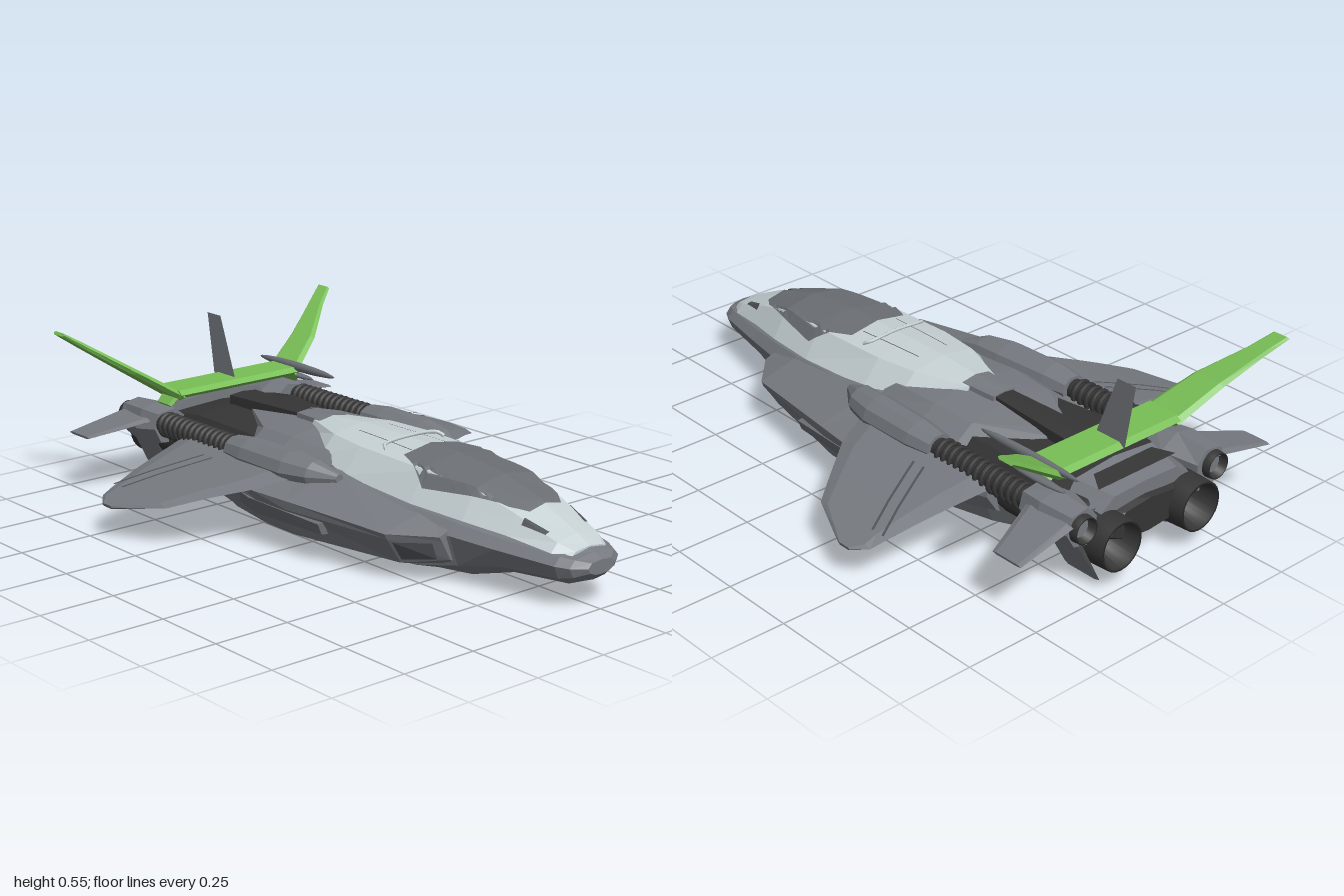
import * as THREE from 'three';

const mat = (name, color, side = THREE.FrontSide) => {
  const m = new THREE.MeshStandardMaterial({ color, side });
  m.name = name;
  return m;
};

// Skin between rings of [x,y,z] points; closed rings get end caps and outward faces
function loft(rings, closed = true) {
  const pos = [], n = rings[0].length, tri = (a, b, c) => pos.push(...a, ...b, ...c);
  for (let i = 0; i + 1 < rings.length; i++) {
    for (let j = 0; j < (closed ? n : n - 1); j++) {
      const k = (j + 1) % n, A = rings[i], B = rings[i + 1];
      tri(A[j], B[j], B[k]);
      tri(A[j], B[k], A[k]);
    }
  }
  if (closed) {
    [rings[0], rings[rings.length - 1]].forEach((r, e) => {
      const c = [0, 1, 2].map(d => r.reduce((s, p) => s + p[d], 0) / n);
      r.forEach((p, j) => (e ? tri(c, r[(j + 1) % n], p) : tri(c, p, r[(j + 1) % n])));
    });
  }
  // flip when the enclosed volume (or, for open skins, the upward area) is negative
  let sum = 0;
  const a = new THREE.Vector3(), b = new THREE.Vector3(), c = new THREE.Vector3();
  for (let i = 0; i < pos.length; i += 9) {
    a.fromArray(pos, i); b.fromArray(pos, i + 3); c.fromArray(pos, i + 6);
    sum += closed ? a.dot(b.cross(c)) : b.sub(a).cross(c.sub(a)).y;
  }
  if (sum < 0) {
    for (let i = 0; i < pos.length; i += 9) {
      for (let d = 0; d < 3; d++) [pos[i + 3 + d], pos[i + 6 + d]] = [pos[i + 6 + d], pos[i + 3 + d]];
    }
  }
  const g = new THREE.BufferGeometry();
  g.setAttribute('position', new THREE.Float32BufferAttribute(pos, 3));
  g.computeVertexNormals();
  return g;
}

// Symmetric body: each station is [z, [x,y]...] from bottom centre to top centre
const body = stations => loft(stations.map(([z, ...h]) => [
  ...h.map(([x, y]) => [x, y, z]),
  ...h.slice(1, -1).reverse().map(([x, y]) => [-x, y, z])]));

// One-sided body from full cross-sections; s is the side
const pod = (s, stations) => loft(stations.map(([z, ...r]) => r.map(([x, y]) => [s * x, y, z])));

// Blade: sections are [x, y, zFront, zBack, thickness]
function blade(s, secs) {
  const p = secs[0], q = secs[secs.length - 1];
  const l = Math.hypot(q[0] - p[0], q[1] - p[1]), nx = -(q[1] - p[1]) / l, ny = (q[0] - p[0]) / l;
  return loft(secs.map(([x, y, f, b, t]) => {
    const at = (k, o) => [s * (x + nx * o * t / 2), y + ny * o * t / 2, f + (b - f) * k];
    return [at(0, 0), at(0.12, 1), at(0.88, 1), at(1, 0), at(0.88, -1), at(0.12, -1)];
  }));
}

// Upper shell profile: z, edge x/y, shoulder x/y, crown y
const SHELL = [
  [0.95, 0.08, 0.158, 0.055, 0.175, 0.182], [0.9, 0.105, 0.168, 0.08, 0.195, 0.208],
  [0.75, 0.138, 0.19, 0.1, 0.248, 0.27], [0.6, 0.175, 0.205, 0.12, 0.292, 0.313],
  [0.4, 0.2, 0.215, 0.14, 0.308, 0.332], [0.1, 0.205, 0.235, 0.14, 0.315, 0.337],
  [-0.05, 0.175, 0.26, 0.12, 0.318, 0.337], [-0.23, 0.075, 0.28, 0.055, 0.315, 0.324]];

function shellY(x, z) {
  let i = 0;
  while (i < SHELL.length - 2 && z < SHELL[i + 1][0]) i++;
  const A = SHELL[i], B = SHELL[i + 1], t = (z - A[0]) / (B[0] - A[0]);
  const [, ex, ey, sx, sy, cy] = A.map((v, k) => v + (B[k] - v) * t), ax = Math.abs(x);
  return ax < sx ? cy + (sy - cy) * ax / sx : sy + (ey - sy) * (ax - sx) / (ex - sx);
}

// Thin skin on the shell; rows are [z, x0, x1]
function patch(rows, lift) {
  const rings = [];
  for (let i = 0; i + 1 < rows.length; i++) {
    for (let k = i ? 1 : 0; k <= 4; k++) {
      const [z, x0, x1] = rows[i].map((v, d) => v + (rows[i + 1][d] - v) * k / 4);
      rings.push(Array.from({ length: 15 }, (_, j) => {
        const x = x0 + (x1 - x0) * j / 14;
        return [x, shellY(x, z) + lift, z];
      }));
    }
  }
  return loft(rings, false);
}

export function createModel() {
  const grey = mat('hull grey', 0x767a80, THREE.DoubleSide), light = mat('shell light grey', 0xc6d1d4);
  const glass = mat('canopy grey', 0x6c7075), green = mat('wing green', 0x78be55);
  const dark = mat('machinery dark', 0x353536, THREE.DoubleSide), seam = mat('seam grey', 0x505358, THREE.DoubleSide);
  const model = new THREE.Group();
  const add = (name, geo, m, x = 0, y = 0, z = 0) => {
    const mesh = new THREE.Mesh(geo, m);
    mesh.name = name;
    mesh.position.set(x, y, z);
    model.add(mesh);
  };

  // Fuselage from nose to tail
  add('fuselage', body([
    [1.0, [0, 0.11], [0.025, 0.112], [0.045, 0.12], [0.055, 0.135], [0.04, 0.15], [0, 0.154]],
    [0.97, [0, 0.085], [0.045, 0.09], [0.085, 0.108], [0.1, 0.138], [0.08, 0.16], [0, 0.17]],
    [0.93, [0, 0.07], [0.06, 0.075], [0.105, 0.1], [0.122, 0.14], [0.1, 0.165], [0, 0.185]],
    [0.73, [0, 0.055], [0.08, 0.06], [0.14, 0.09], [0.17, 0.15], [0.145, 0.178], [0, 0.24]],
    [0.58, [0, 0.015], [0.11, 0.02], [0.17, 0.06], [0.205, 0.16], [0.178, 0.195], [0, 0.27]],
    [0.45, [0, 0.01], [0.13, 0.012], [0.22, 0.04], [0.24, 0.16], [0.2, 0.208], [0, 0.28]],
    [0.06, [0, 0.003], [0.14, 0.005], [0.29, 0.032], [0.33, 0.17], [0.22, 0.235], [0, 0.28]],
    [-0.3, [0, 0.008], [0.14, 0.012], [0.29, 0.042], [0.33, 0.17], [0.24, 0.22], [0, 0.24]],
    [-0.55, [0, 0.033], [0.13, 0.036], [0.25, 0.06], [0.28, 0.14], [0.2, 0.19], [0, 0.2]],
    [-0.77, [0, 0.055], [0.1, 0.058], [0.18, 0.08], [0.2, 0.13], [0.16, 0.17], [0, 0.19]]]), grey);
  // Light upper shell, canopy and aft deck
  add('upperShell', body(SHELL.map(([z, ex, ey, sx, sy, cy]) =>
    [z, [0, ey - 0.02], [ex, ey], [sx, sy], [0, cy]])), light);
  add('canopy', patch([[0.77, -0.065, 0.065], [0.72, -0.1, 0.1], [0.6, -0.135, 0.135], [0.42, -0.17, 0.17],
    [0.32, -0.13, 0.13], [0.27, -0.11, 0.11]], 0.005), glass);
  add('aftDeck', body([
    [0.02, [0, 0.2], [0.21, 0.23], [0.16, 0.275], [0, 0.3]],
    [-0.2, [0, 0.2], [0.25, 0.23], [0.17, 0.285], [0, 0.314]],
    [-0.36, [0, 0.2], [0.24, 0.22], [0.16, 0.28], [0, 0.306]],
    [-0.58, [0, 0.2], [0.06, 0.23], [0.04, 0.28], [0, 0.292]]]), grey);
  add('engineBay', body([
    [-0.34, [0, 0.12], [0.2, 0.14], [0.24, 0.2], [0.18, 0.25], [0, 0.27]],
    [-0.66, [0, 0.1], [0.2, 0.12], [0.24, 0.18], [0.2, 0.265], [0, 0.28]],
    [-0.86, [0, 0.1], [0.18, 0.11], [0.24, 0.17], [0.2, 0.24], [0, 0.25]],
    [-0.95, [0, 0.11], [0.1, 0.12], [0.16, 0.15], [0.1, 0.21], [0, 0.22]]]), dark);
  add('spine', body([
    [-0.32, [0, 0.27], [0.035, 0.275], [0.035, 0.312], [0, 0.316]],
    [-0.68, [0, 0.25], [0.055, 0.255], [0.055, 0.305], [0, 0.31]]]), dark);
  add('spineIntake', body([
    [-0.2, [0, 0.27], [0.06, 0.275], [0.055, 0.318], [0, 0.327]],
    [-0.33, [0, 0.26], [0.05, 0.265], [0.045, 0.316], [0, 0.32]]]), grey);
  add('rearPlate', body([
    [-0.8, [0, 0.2], [0.2, 0.22], [0.16, 0.28], [0, 0.295]],
    [-0.93, [0, 0.18], [0.22, 0.2], [0.13, 0.265], [0, 0.27]]]), grey);
  add('rearVent', loft([[[-0.12, 0.294, -0.835], [0.12, 0.294, -0.835]],
    [[-0.16, 0.284, -0.895], [0.16, 0.284, -0.895]]], false), dark);

  // Grab rail behind the canopy
  add('grabRail', new THREE.TubeGeometry(new THREE.CatmullRomCurve3([[-0.12, 0.322, 0.2], [-0.11, 0.332, 0.18],
    [0, 0.341, 0.175], [0.11, 0.332, 0.18], [0.12, 0.322, 0.2]].map(p => new THREE.Vector3(...p))), 24, 0.006, 6), light);

  for (const s of [1, -1]) {
    const S = s > 0 ? 'left' : 'right';
    // Side strake with intake opening
    add(S + 'Strake', pod(s, [
      [0.57, [0.15, 0.06], [0.19, 0.08], [0.225, 0.145], [0.235, 0.16], [0.15, 0.19]],
      [0.45, [0.15, 0.03], [0.28, 0.06], [0.335, 0.145], [0.344, 0.163], [0.15, 0.215]],
      [0.06, [0.2, 0.02], [0.37, 0.068], [0.405, 0.155], [0.41, 0.185], [0.2, 0.245]],
      [-0.07, [0.2, 0.025], [0.375, 0.072], [0.42, 0.16], [0.43, 0.19], [0.2, 0.245]],
      [-0.25, [0.2, 0.03], [0.355, 0.08], [0.4, 0.165], [0.4, 0.198], [0.2, 0.24]],
      [-0.59, [0.2, 0.09], [0.27, 0.12], [0.31, 0.18], [0.31, 0.205], [0.2, 0.21]]]), grey);
    add(S + 'Intake', loft([[[s * 0.225, 0.085, 0.55], [s * 0.245, 0.138, 0.55]],
      [[s * 0.285, 0.074, 0.46], [s * 0.328, 0.138, 0.466]]], false), seam);
    add(S + 'SidePanel', pod(s, [
      [0.2, [0.34, 0.1], [0.378, 0.105], [0.392, 0.14], [0.34, 0.15]],
      [-0.1, [0.34, 0.09], [0.4, 0.105], [0.425, 0.16], [0.34, 0.17]],
      [-0.5, [0.26, 0.13], [0.315, 0.14], [0.335, 0.175], [0.26, 0.18]]]), glass);
    // Main wing with two seam lines
    add(S + 'Wing', blade(s, [[0.31, 0.218, -0.02, -0.607, 0.035], [0.43, 0.193, -0.07, -0.577, 0.03],
      [0.54, 0.168, -0.152, -0.55, 0.024], [0.645, 0.138, -0.23, -0.523, 0.018],
      [0.69, 0.123, -0.33, -0.51, 0.015], [0.725, 0.113, -0.41, -0.46, 0.01]]), grey);
    for (const d of [0, 0.045]) {
      add(S + 'WingSeam', loft([[0.38, 0.224, -0.34], [0.43, 0.212, -0.362], [0.54, 0.184, -0.412], [0.645, 0.151, -0.463]]
        .map(([x, y, z]) => [[s * x, y, z - d], [s * x, y, z - d - 0.009]]), false), seam);
    }
    // Shoulder nacelle, ribbed tube, lower tube and rear pod
    add(S + 'Shoulder', pod(s, [[0.12, 0.24, 0.235, 0.015], [0.04, 0.265, 0.235, 0.05], [-0.06, 0.275, 0.232, 0.066],
      [-0.26, 0.283, 0.235, 0.062], [-0.35, 0.283, 0.235, 0.05]].map(([z, x, y, r]) => [z,
      ...Array.from({ length: 10 }, (_, i) => [x + r * Math.cos(i * Math.PI / 5), y + r * 0.9 * Math.sin(i * Math.PI / 5)])])), grey);
    add(S + 'Tube', new THREE.CylinderGeometry(0.034, 0.034, 0.46, 16).rotateX(Math.PI / 2), dark, s * 0.285, 0.235, -0.56);
    for (let i = 0; i < 13; i++) {
      add(S + 'TubeRib', new THREE.TorusGeometry(0.037, 0.008, 6, 16), dark, s * 0.285, 0.235, -0.38 - i * 0.028);
    }
    add(S + 'LowerTube', new THREE.CylinderGeometry(0.06, 0.06, 0.3, 16).rotateX(Math.PI / 2), dark, s * 0.21, 0.165, -0.66);
    add(S + 'RearPod', pod(s, [
      [-0.74, [0.2, 0.16], [0.3, 0.17], [0.325, 0.22], [0.31, 0.27], [0.24, 0.28], [0.19, 0.24]],
      [-0.82, [0.2, 0.13], [0.31, 0.15], [0.34, 0.21], [0.32, 0.275], [0.25, 0.29], [0.18, 0.25]],
      [-0.94, [0.22, 0.15], [0.3, 0.17], [0.33, 0.22], [0.31, 0.27], [0.25, 0.28], [0.21, 0.24]]]), grey);
    // Exhausts: large lower and small upper
    for (const [n, x, y, r, z0, z1] of [['MainNozzle', 0.165, 0.145, 0.085, -0.78, -1], ['SmallNozzle', 0.275, 0.225, 0.045, -0.9, -0.965]]) {
      const L = z0 - z1;
      add(S + n, new THREE.LatheGeometry([[0, L * 0.45], [r * 0.6, L * 0.45], [r * 0.85, L], [r * 0.95, L],
        [r, L * 0.6], [r, 0], [0, 0]].map(p => new THREE.Vector2(...p)), 24).rotateX(-Math.PI / 2), dark, s * x, y, z0);
      add(S + n + 'Collar', new THREE.TorusGeometry(r, r * 0.05, 6, 24), seam, s * x, y, z0 - L * 0.55);
    }
    // Tail fins: outer and lower
    add(S + 'TailFin', blade(s, [[0.28, 0.25, -0.75, -0.95, 0.02], [0.52, 0.203, -0.84, -0.955, 0.008]]), grey);
    add(S + 'LowerFin', blade(s, [[0.28, 0.18, -0.79, -0.95, 0.016], [0.2, 0.022, -0.81, -0.95, 0.008]]), grey);
    // Raised green wing arm and its foot
    add(S + 'SpoilerArm', blade(s, [[0.235, 0.325, -0.685, -0.836, 0.026], [0.376, 0.42, -0.757, -0.88, 0.022],
      [0.497, 0.505, -0.857, -0.932, 0.018], [0.562, 0.55, -0.9, -0.963, 0.012]]), green);
    add(S + 'SpoilerFoot', blade(s, [[0.235, 0.335, -0.7, -0.8, 0.02], [0.27, 0.295, -0.72, -0.8, 0.014]]), green);
    // Nose vents and shell seams
    add(S + 'NoseVent', patch([[0.86, s * 0.072, s * 0.088], [0.78, s * 0.092, s * 0.108]], 0.004), seam);
    add(S + 'ShellSeam', patch([[0.26, s * 0.068, s * 0.071], [0.0, s * 0.058, s * 0.061]], 0.003), seam);
  }

  // Green wing bar, paper-thin centre fin and offset antenna pods
  add('spoilerBar', blade(1, [[-0.25, 0.335, -0.685, -0.836, 0.028], [0.25, 0.335, -0.685, -0.836, 0.028]]), green);
  const fin = new THREE.Shape([[0.72, 0.335], [0.84, 0.335], [0.873, 0.55], [0.8, 0.55]].map(p => new THREE.Vector2(...p)));
  add('centreFin', new THREE.ShapeGeometry(fin).rotateY(Math.PI / 2), grey);
  add('antennaPod', new THREE.SphereGeometry(1, 12, 10).scale(0.013, 0.016, 0.205), glass, 0.25, 0.35, -0.7);
  add('lowerAntennaPod', new THREE.SphereGeometry(1, 12, 8).scale(0.016, 0.01, 0.12), glass, 0.275, 0.31, -0.76);
  return model;
}
